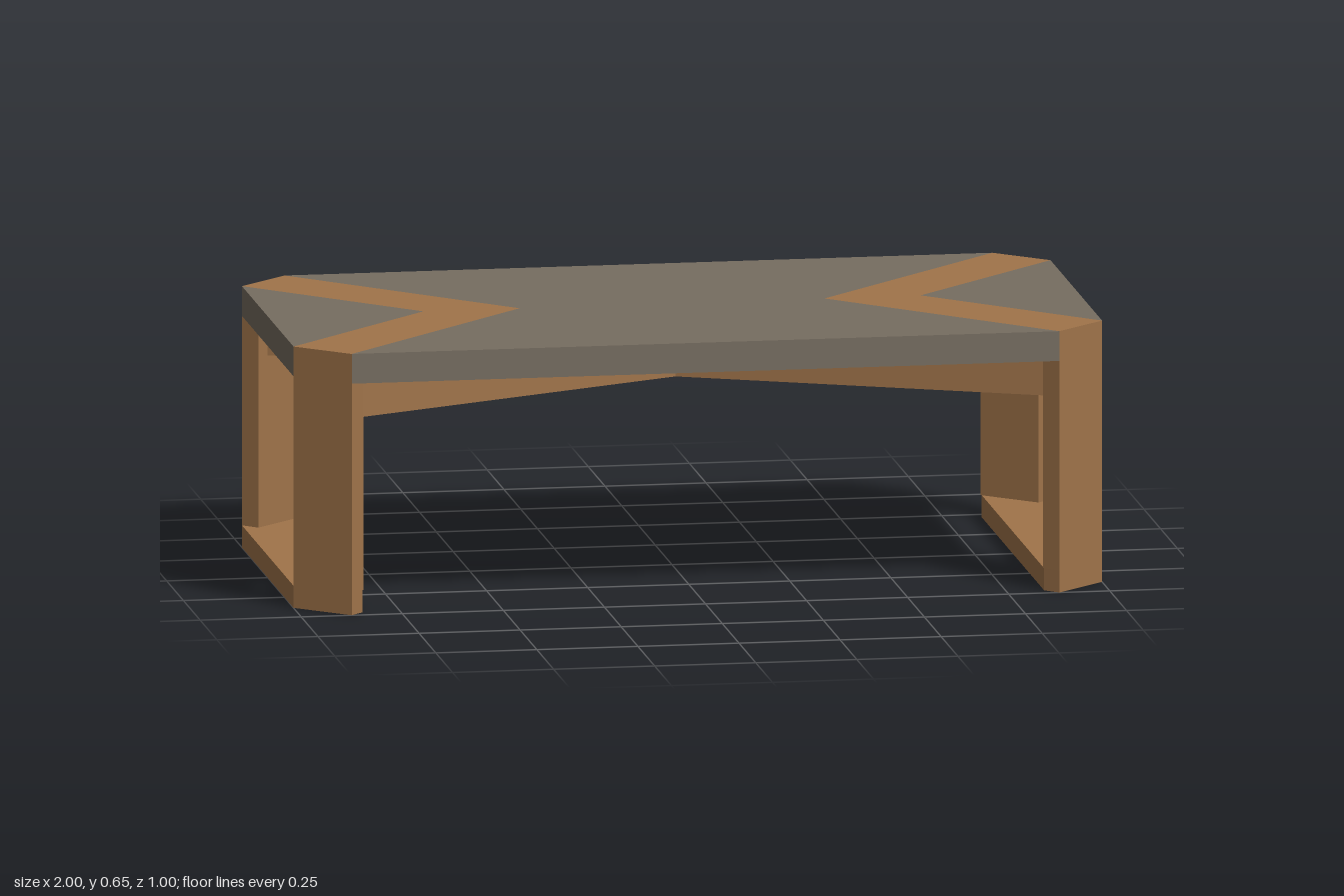
import * as THREE from 'three';

const wood = new THREE.MeshStandardMaterial({ color: 0xa0744a });
wood.name = 'oak wood';
const stone = new THREE.MeshStandardMaterial({ color: 0x766d60 });
stone.name = 'grey slab';

const TOP = 0.65, UNDER = 0.576, BEAM = 0.478, FOOT = 0.055;

// Upright prism: plan outline given as [x, z] pairs, between two heights
function prism(name, plan, y0, y1, material) {
  const shape = new THREE.Shape(plan.map(([x, z]) => new THREE.Vector2(x, -z)));
  const geo = new THREE.ExtrudeGeometry(shape, { depth: y1 - y0, bevelEnabled: false });
  geo.rotateX(-Math.PI / 2).translate(0, y0, 0);
  const mesh = new THREE.Mesh(geo, material);
  mesh.name = name;
  return mesh;
}

const flip = (plan, sx, sz) => plan.map(([x, z]) => [x * sx, z * sz]);

export function createModel() {
  const table = new THREE.Group();
  table.name = 'coffeeTable';

  // Middle panel of the top, with pointed notches at both ends
  table.add(prism('centrePanel', [
    [0.875, 0.5], [0.377, 0], [0.875, -0.5],
    [-0.875, -0.5], [-0.377, 0], [-0.875, 0.5],
  ], UNDER, TOP, stone));

  const leg = [[1, 0.385], [0.875, 0.5], [0.84, 0.465], [0.965, 0.35]];

  for (const sx of [1, -1]) {
    const side = sx > 0 ? 'left' : 'right';
    // Triangular end panel and the chevron band let through the top
    table.add(prism(side + 'EndPanel',
      flip([[1, 0.385], [0.615, 0], [1, -0.385]], sx, 1), UNDER, TOP, stone));
    table.add(prism(side + 'Chevron', flip([
      [0.875, 0.5], [1, 0.385], [0.615, 0], [1, -0.385], [0.875, -0.5], [0.377, 0],
    ], sx, 1), UNDER, TOP, wood));
    // Floor rail joining the two legs of one end
    table.add(prism(side + 'FloorRail', flip([
      [1, 0.385], [0.875, 0.5], [0.843, 0.467], [0.843, -0.467], [0.875, -0.5], [1, -0.385],
    ], sx, 1), 0, FOOT, wood));
    // Slanted corner legs
    for (const sz of [1, -1]) {
      table.add(prism(side + (sz > 0 ? 'Front' : 'Back') + 'Leg',
        flip(leg, sx, sz), FOOT, UNDER, wood));
    }
  }

  // Crossed beams under the top, mitred against the inner faces of the legs
  const beam = [[0.939, 0.374], [0.866, 0.441], [-0.939, -0.374], [-0.866, -0.441]];
  for (const sz of [1, -1]) {
    table.add(prism(sz > 0 ? 'crossBeamA' : 'crossBeamB', flip(beam, 1, sz), BEAM, UNDER, wood));
  }
  return table;
}
